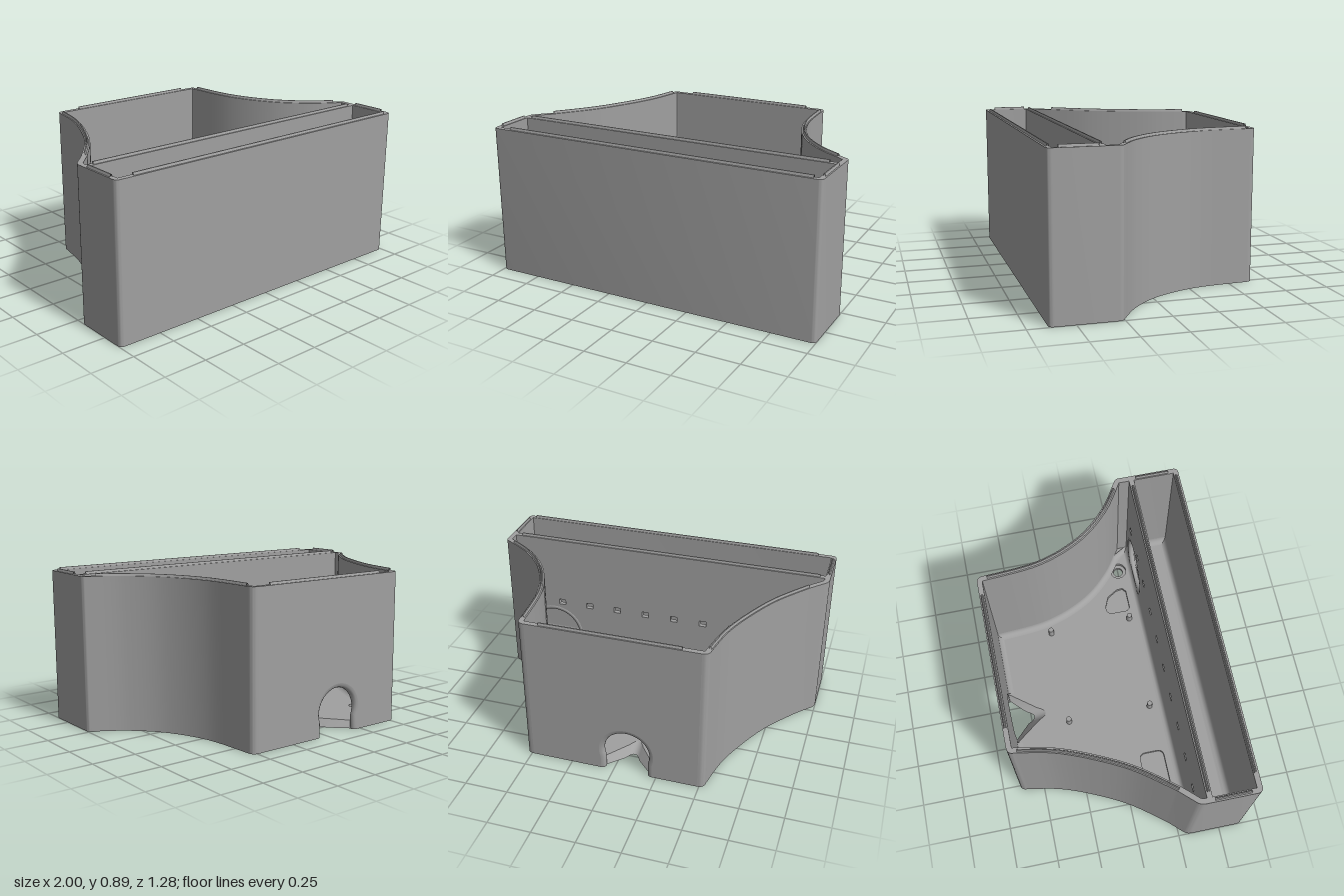
import * as THREE from 'three';
import { toCreasedNormals } from 'three/addons/utils/BufferGeometryUtils.js';

const HEIGHT = 0.88, WALL = 0.03, FLOOR = 0.04;
const V2 = (x, y) => new THREE.Vector2(x, y);

// Plan drawings use (x, -z), so an extrusion turned by -90 degrees rises along y.
function slab(points, holes, y0, y1) {
  const shape = new THREE.Shape(points);
  shape.holes.push(...holes);
  const geo = new THREE.ExtrudeGeometry(shape, { depth: y1 - y0, bevelEnabled: false, curveSegments: 20 });
  geo.rotateX(-Math.PI / 2).translate(0, y0, 0);
  return toCreasedNormals(geo, 0.5);
}

// Upright panel drawn in (x, y), spanning z0 to z1
function panel(points, holes, z0, z1) {
  const shape = new THREE.Shape(points);
  shape.holes.push(...holes);
  const geo = new THREE.ExtrudeGeometry(shape, { depth: z1 - z0, bevelEnabled: false, curveSegments: 24 });
  return toCreasedNormals(geo.translate(0, 0, z0), 0.5);
}

// Surface through rows of equally many points
function loft(rows) {
  const n = rows[0].length, index = [];
  for (let r = 0; r < rows.length - 1; r++) {
    for (let i = 0; i < n - 1; i++) {
      const a = r * n + i, b = a + n;
      index.push(a, a + 1, b, a + 1, b + 1, b);
    }
  }
  const geo = new THREE.BufferGeometry().setFromPoints(rows.flat());
  geo.setIndex(index);
  return toCreasedNormals(geo, 0.6);
}

// Shift a plan line to its left (inwards for a counter-clockwise outline)
function offset(pts, d, closed = true) {
  const n = pts.length;
  const normal = (a, b) => V2(a.y - b.y, b.x - a.x).normalize();
  return pts.map((p, i) => {
    const prev = closed || i > 0 ? normal(pts[(i + n - 1) % n], p) : null;
    const next = closed || i < n - 1 ? normal(p, pts[(i + 1) % n]) : null;
    const n1 = prev || next, n2 = next || prev;
    return p.clone().addScaledVector(n1.clone().add(n2), d / (1 + n1.dot(n2)));
  });
}

const lift = (pts, y) => pts.map(p => new THREE.Vector3(p.x, y, -p.y));

function circle(x, y, r) {
  const path = new THREE.Path();
  path.absarc(x, y, r, 0, Math.PI * 2, true);
  return path;
}

const polygon = pairs => new THREE.Path(pairs.map(([x, y]) => V2(x, y)));

function roundedRect(x0, y0, x1, y1, r) {
  const p = new THREE.Path();
  p.moveTo(x0 + r, y0);
  p.lineTo(x1 - r, y0).quadraticCurveTo(x1, y0, x1, y0 + r);
  p.lineTo(x1, y1 - r).quadraticCurveTo(x1, y1, x1 - r, y1);
  p.lineTo(x0 + r, y1).quadraticCurveTo(x0, y1, x0, y1 - r);
  p.lineTo(x0, y0 + r).quadraticCurveTo(x0, y0, x0 + r, y0);
  return p;
}

// Outer footprint, from the back wall round the front and back again
function footprint() {
  const p = new THREE.Path();
  p.moveTo(-0.49, 0.645);
  p.quadraticCurveTo(-0.53, 0.645, -0.53, 0.605);
  p.splineThru([V2(-0.572, 0.4), V2(-0.65, 0.2), V2(-0.755, 0), V2(-0.905, -0.2)]);
  p.lineTo(-0.98, -0.28).quadraticCurveTo(-1, -0.3, -1, -0.33);
  p.lineTo(-1, -0.61).quadraticCurveTo(-1, -0.64, -0.97, -0.64);
  p.lineTo(0.97, -0.64).quadraticCurveTo(1, -0.64, 1, -0.61);
  p.lineTo(1, -0.28).quadraticCurveTo(1, -0.258, 0.98, -0.25);
  p.splineThru([V2(0.81, -0.135), V2(0.66, 0.04), V2(0.56, 0.29), V2(0.53, 0.605)]);
  p.quadraticCurveTo(0.53, 0.645, 0.49, 0.645);
  return p.getPoints(8);
}

// Cable arch in the back wall
function arch(r) {
  const pts = [V2(-0.075 + r * 0.94, 0)];
  for (let i = 0; i <= 24; i++) {
    const a = -0.35 + (Math.PI + 0.7) * i / 24;
    pts.push(V2(-0.075 + r * Math.cos(a), 0.13 + r * Math.sin(a)));
  }
  pts.push(V2(-0.075 - r * 0.94, 0));
  return pts;
}

// Rounded V cut in the floor, from +x to -x
function notch(x0, x1, tip) {
  const p = new THREE.Path(), mid = (x0 + x1) / 2, y = tip + 0.05;
  p.moveTo(x0, 0.615);
  p.lineTo(mid + 0.04, y).quadraticCurveTo(mid, tip - 0.04, mid - 0.04, y);
  p.lineTo(x1, 0.615);
  return p.getPoints(10);
}

export function createModel() {
  const model = new THREE.Group();
  const grey = new THREE.MeshStandardMaterial({ color: 0xa0a0a0, side: THREE.DoubleSide });
  grey.name = 'grey plastic';
  const add = (name, geo) => {
    const mesh = new THREE.Mesh(geo, grey);
    mesh.name = name;
    model.add(mesh);
    return mesh;
  };

  const outer = footprint();
  const inner = offset(outer, WALL);

  // Walls
  add('outerWall', slab([...outer, ...inner.slice().reverse()], [], 0, HEIGHT));
  add('backWall', panel([V2(0.49, 0), V2(0.49, HEIGHT), V2(-0.49, HEIGHT), V2(-0.49, 0), ...arch(0.16).reverse()],
    [], -0.645, -0.615));
  const flare = [[0.16, -0.645], [0.147, -0.643], [0.137, -0.636], [0.133, -0.626], [0.133, -0.615], [0.16, -0.615]];
  add('archFlare', loft(flare.map(([r, z]) => arch(r).map(p => new THREE.Vector3(p.x, p.y, z)))));

  // Floor in two layers, so that pockets and countersinks stop half way
  const wide = notch(0.09, -0.24, 0.4), narrow = notch(0.055, -0.205, 0.475);
  const plan = [...inner, ...wide];
  const screws = [[-0.8, -0.26], [0.805, -0.25]];
  const corner = () => circle(-0.47, 0.385, 0.04);
  add('floorBase', slab(plan, [corner(), ...screws.map(([x, y]) => circle(x, y, 0.03))], 0, FLOOR / 2));
  add('floorTop', slab(plan, [
    corner(), ...screws.map(([x, y]) => circle(x, y, 0.052)),
    roundedRect(-0.71, -0.27, -0.46, -0.12, 0.04),
    polygon([[0.51, -0.25], [0.53, -0.27], [0.65, -0.27], [0.675, -0.25], [0.67, -0.21],
      [0.63, -0.145], [0.56, -0.115], [0.525, -0.12], [0.51, -0.14]]),
  ], FLOOR / 2, FLOOR));
  add('notchSlope', loft([lift(wide, FLOOR), lift(narrow, 0), lift(wide, 0)]));

  // Divider with a cable hole and a row of small slots
  const slots = [];
  for (let i = 0; i < 10; i++) {
    const x = 0.867 - i * 0.187;
    slots.push(roundedRect(x - 0.022, 0.425, x + 0.022, 0.461, 0.004));
  }
  add('divider', panel([V2(-0.975, 0.03), V2(0.975, 0.03), V2(0.975, HEIGHT), V2(-0.975, HEIGHT)],
    [circle(0.735, 0.215, 0.17), ...slots], 0.34, 0.37));
  add('dividerHoleRim', new THREE.TorusGeometry(0.18, 0.019, 10, 40)).position.set(0.735, 0.215, 0.355);

  // Fillets where the walls meet the floor
  const side = (pts, s, lo, hi) => pts.filter(p => p.x * s > 0 && p.y > lo && p.y < hi);
  const room = [V2(-0.24, 0.615), V2(-0.5, 0.615), ...side(inner, -1, -0.24, 0.59), V2(-0.965, -0.34),
    V2(0.965, -0.34), ...side(inner, 1, -0.25, 0.59), V2(0.5, 0.615), V2(0.09, 0.615)];
  const tray = [V2(0, -0.37), V2(-0.97, -0.37), V2(-0.97, -0.61), V2(0.97, -0.61), V2(0.97, -0.37), V2(0, -0.37)];
  const fillet = (pts, r, closedLine) => {
    const rows = [];
    for (let i = 0; i <= 5; i++) {
      const a = Math.PI / 2 * i / 5;
      rows.push(lift(offset(pts, r * (1 - Math.sin(a)), closedLine), FLOOR + 0.001 + r * (1 - Math.cos(a))));
    }
    return loft(rows);
  };
  add('roomFillet', fillet(room, 0.035, true));
  add('trayFillet', fillet(tray, 0.045, false));

  // Standoff posts
  for (const x of [-0.165, 0.45]) for (const z of [-0.27, 0.25]) {
    add('standoff', new THREE.CylinderGeometry(0.016, 0.018, 0.06, 16)).position.set(x, FLOOR + 0.03, z);
  }

  // Raised locating ridges on the rim
  const ridge = (name, pts) => add(name, loft([[0.008, 0], [0.003, 0.015], [-0.003, 0.015], [-0.008, 0]]
    .map(([d, h]) => lift(offset(pts, d, false), HEIGHT - 0.001 + h))));
  const mid = offset(outer, 0.014);
  ridge('frontRidge', [V2(-0.89, -0.622), V2(0.95, -0.622)]);
  ridge('backRidge', [V2(-0.385, 0.63), V2(0.41, 0.63)]);
  ridge('dividerRidge', [V2(-0.94, -0.355), V2(0.93, -0.355)]);
  for (const s of [-1, 1]) {
    ridge('sideRidge', [V2(s * 0.984, -0.38), V2(s * 0.984, -0.58)]);
    ridge('curvedRidge', side(mid, s, -0.245, 0.6));
  }
  return model;
}
